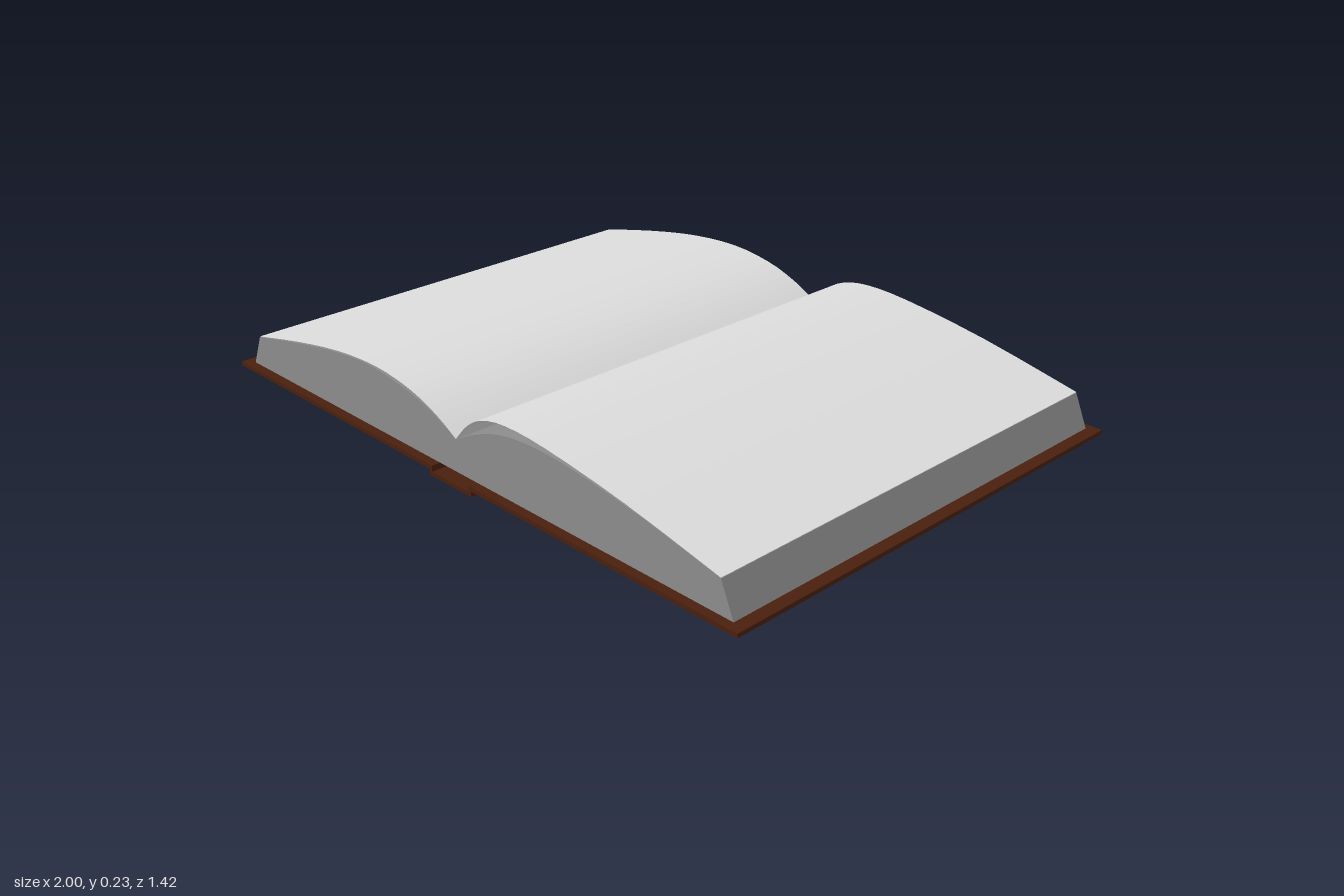
import * as THREE from 'three';

const coverMat = new THREE.MeshStandardMaterial({ color: 0x4a200e });
coverMat.name = 'brown cover';
const edgeMat = new THREE.MeshStandardMaterial({ color: 0x8c8c8c });
edgeMat.name = 'grey page edges';
const sheetMat = new THREE.MeshStandardMaterial({ color: 0xdcdcdc, side: THREE.DoubleSide, flatShading: true });
sheetMat.name = 'pale paper';

const PAGE_DEPTH = 1.37, COVER_DEPTH = 1.42, PAGE_BASE = 0.03;

// Smooth profile, listed from the outer edge to the gutter or back, sorted by x
function profile(side, pts) {
  const v = pts.map(([x, y]) => new THREE.Vector2(side * x, y));
  if (side < 0) v.reverse();
  return new THREE.SplineCurve(v);
}

function box(name, w, h, d, x, y) {
  const m = new THREE.Mesh(new THREE.BoxGeometry(w, h, d), coverMat);
  m.name = name;
  m.position.set(x, y, 0);
  return m;
}

// Stack of pages with a sloping fore-edge and an arched top
function pageBlock(side, pts) {
  const top = profile(side, pts).getPoints(24);
  if (side < 0) top.reverse();
  const shape = new THREE.Shape([
    new THREE.Vector2(0, PAGE_BASE), ...top, new THREE.Vector2(side * 0.965, PAGE_BASE),
  ]);
  const geo = new THREE.ExtrudeGeometry(shape, { depth: PAGE_DEPTH, bevelEnabled: false });
  geo.translate(0, 0, -PAGE_DEPTH / 2);
  return new THREE.Mesh(geo, edgeMat);
}

// Single loose sheet bent along a profile
function sheet(side, pts) {
  const n = 18, curve = profile(side, pts);
  const geo = new THREE.PlaneGeometry(1, PAGE_DEPTH, n, 1).rotateX(-Math.PI / 2);
  const pos = geo.attributes.position;
  for (let i = 0; i < pos.count; i++) {
    const p = curve.getPoint(THREE.MathUtils.clamp(pos.getX(i) + 0.5, 0, 1));
    pos.setXYZ(i, p.x, p.y, pos.getZ(i));
  }
  geo.computeVertexNormals();
  return new THREE.Mesh(geo, sheetMat);
}

export function createModel() {
  const book = new THREE.Group();
  book.name = 'openBook';

  const halves = [
    {
      side: 1, name: 'left',
      block: [[0, 0.122], [0.08, 0.164], [0.17, 0.196], [0.29, 0.211], [0.45, 0.204], [0.7, 0.168], [0.925, 0.122]],
      top: [[0, 0.124], [0.05, 0.178], [0.11, 0.213], [0.2, 0.23], [0.35, 0.224], [0.62, 0.186], [0.925, 0.124]],
    },
    {
      side: -1, name: 'right',
      block: [[0, 0.122], [0.08, 0.158], [0.19, 0.191], [0.36, 0.211], [0.52, 0.2], [0.72, 0.166], [0.925, 0.122]],
      top: [[0, 0.124], [0.08, 0.165], [0.19, 0.2], [0.34, 0.217], [0.52, 0.205], [0.72, 0.17], [0.925, 0.124]],
    },
  ];

  for (const h of halves) {
    const block = pageBlock(h.side, h.block);
    block.name = h.name + 'PageBlock';
    const page = sheet(h.side, h.top);
    page.name = h.name + 'TopPage';
    book.add(
      block, page,
      // Board and the short wall joining it to the spine
      box(h.name + 'Cover', 0.915, 0.012, COVER_DEPTH, h.side * 0.5425, 0.023),
      box(h.name + 'Hinge', 0.01, 0.029, COVER_DEPTH, h.side * 0.08, 0.0145),
    );
  }

  // Flat spine below the gap
  book.add(box('spine', 0.15, 0.012, COVER_DEPTH, 0, 0.006));
  return book;
}
